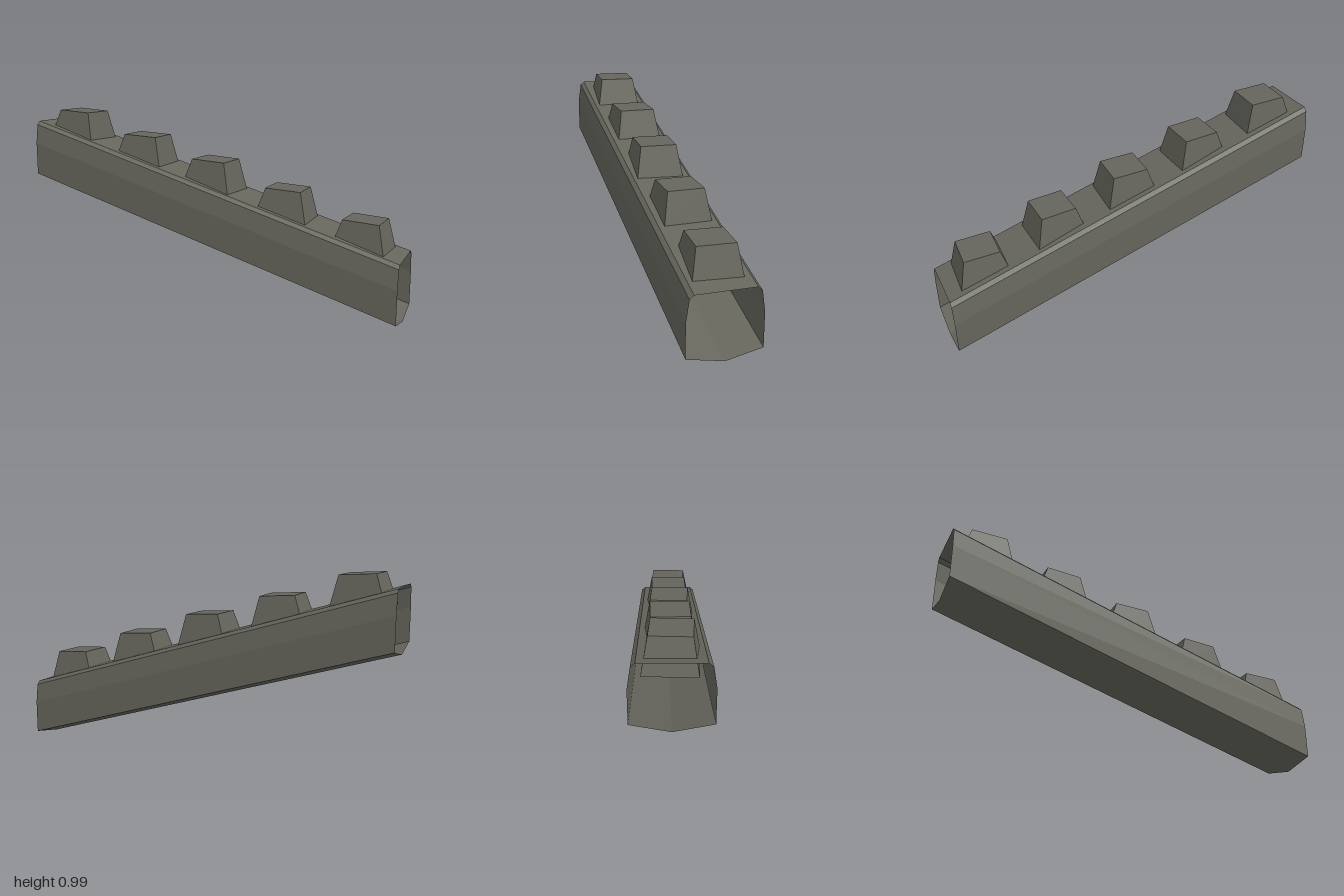
import * as THREE from 'three';

const SLOPE = 0.3;
const stone = new THREE.MeshStandardMaterial({ color: 0x65655c, flatShading: true });
const stoneShell = new THREE.MeshStandardMaterial({ color: 0x65655c, flatShading: true, side: THREE.DoubleSide });

// Open-ended hollow beam: one cross-section swept along x and sheared downhill
function beamGeometry() {
  const half = [[0.18, 0.04], [0.18, 0.21], [0.165, 0.31], [0.145, 0.328]]; // [z, y]
  const section = [[0, 0.003], ...half, ...half.map(([z, y]) => [-z, y]).reverse()];
  const at = (x, [z, y]) => [x, y + SLOPE * (1 - x), z];
  const positions = [];
  section.forEach((p, i) => {
    const q = section[(i + 1) % section.length];
    const a = at(-1, p), b = at(1, p), c = at(1, q), d = at(-1, q);
    positions.push(...a, ...b, ...c, ...a, ...c, ...d);
  });
  const g = new THREE.BufferGeometry();
  g.setAttribute('position', new THREE.Float32BufferAttribute(positions, 3));
  g.computeVertexNormals();
  return g;
}

// Tapered block with its top face at the origin
function blockGeometry() {
  const h = 0.16;
  const g = new THREE.BoxGeometry(2, h, 2).toNonIndexed();
  g.translate(0, -h / 2, 0);
  const p = g.attributes.position;
  for (let i = 0; i < p.count; i++) {
    const top = p.getY(i) > -h / 2;
    p.setX(i, p.getX(i) * (top ? 0.091 : 0.136));
    p.setZ(i, p.getZ(i) * (top ? 0.093 : 0.12));
  }
  g.computeVertexNormals();
  return g;
}

export function createModel() {
  const model = new THREE.Group();
  model.name = 'slopedRail';

  const beam = new THREE.Mesh(beamGeometry(), stoneShell);
  beam.name = 'hollowBeam';
  model.add(beam);

  // Five merlons along the ridge, each slightly twisted
  const geometry = blockGeometry();
  const topHeights = [0.983, 0.866, 0.754, 0.631, 0.502];
  topHeights.forEach((y, i) => {
    const block = new THREE.Mesh(geometry, stone);
    block.name = 'merlon' + (i + 1);
    block.position.set(-0.8 + 0.4 * i, y, 0);
    block.rotation.set(0, i % 2 ? 0.02 : -0.05, -0.06);
    model.add(block);
  });
  return model;
}
